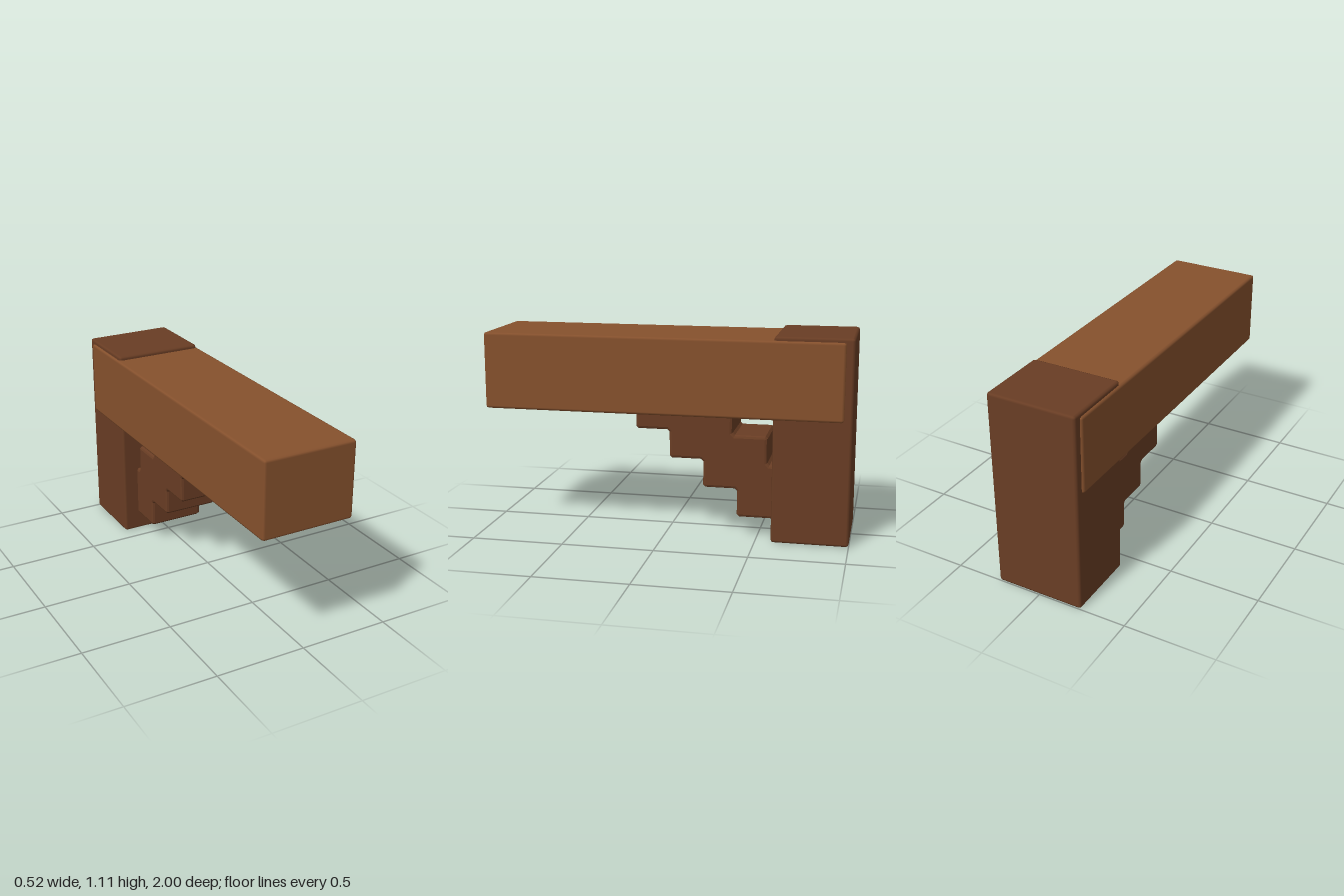
import * as THREE from 'three';
import { RoundedBoxGeometry } from 'three/addons/geometries/RoundedBoxGeometry.js';

const EDGE = 0.015;

// Soft-edged timber block given by its y and z extents, centred on x
function timber(name, width, y0, y1, z0, z1, material) {
  const geometry = new RoundedBoxGeometry(width, y1 - y0, z1 - z0, 1, EDGE);
  const mesh = new THREE.Mesh(geometry, material);
  mesh.name = name;
  mesh.position.set(0, (y0 + y1) / 2, (z0 + z1) / 2);
  return mesh;
}

// Closed shape with every corner cut off by a small amount
function cutCornerShape(points, cut) {
  const corners = points.map(([x, y]) => new THREE.Vector2(x, y));
  const outline = [];
  corners.forEach((p, i) => {
    const prev = corners[(i + corners.length - 1) % corners.length];
    const next = corners[(i + 1) % corners.length];
    for (const q of [prev, next]) {
      outline.push(p.clone().addScaledVector(q.clone().sub(p).normalize(), cut));
    }
  });
  return new THREE.Shape(outline);
}

export function createModel() {
  const group = new THREE.Group();
  group.name = 'timberBracket';

  const lightWood = new THREE.MeshStandardMaterial({ color: 0x86512d });
  lightWood.name = 'light brown wood';
  const darkWood = new THREE.MeshStandardMaterial({ color: 0x693d24 });
  darkWood.name = 'dark brown wood';

  // Long beam and the upright post it is let into
  group.add(timber('beam', 0.518, 0.672, 1.092, -0.957, 1, lightWood));
  group.add(timber('post', 0.494, 0, 1.113, -1, -0.585, darkWood));

  // Stepped brace: profile in (z, y), running into the beam and the post
  const profile = [
    [0.173, 0.75], [-0.36, 0.75], [-0.36, 0.56], [-0.55, 0.56], [-0.55, 0.402],
    [-0.7, 0.402], [-0.7, 0.105], [-0.387, 0.105], [-0.387, 0.262], [-0.2, 0.262],
    [-0.2, 0.418], [-0.013, 0.418], [-0.013, 0.574], [0.173, 0.574],
  ];
  const halfWidth = 0.159;
  const braceGeometry = new THREE.ExtrudeGeometry(cutCornerShape(profile, 0.012), {
    depth: 2 * (halfWidth - EDGE),
    bevelEnabled: true,
    bevelThickness: EDGE,
    bevelSize: EDGE,
    bevelOffset: -EDGE,
    bevelSegments: 2,
  });
  braceGeometry.translate(0, 0, -(halfWidth - EDGE));
  braceGeometry.rotateY(-Math.PI / 2);
  const brace = new THREE.Mesh(braceGeometry, darkWood);
  brace.name = 'steppedBrace';
  group.add(brace);

  return group;
}
